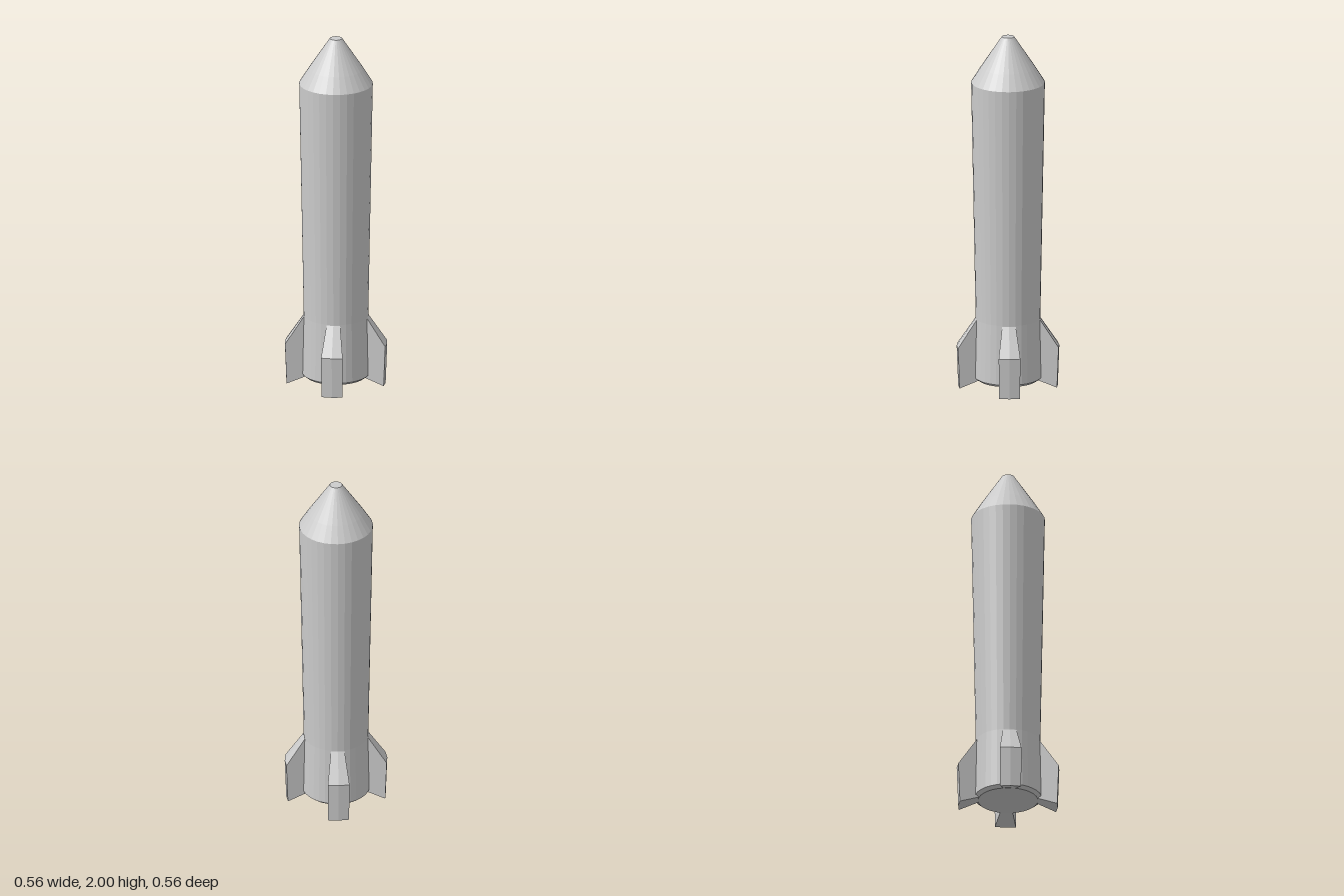
import * as THREE from 'three';

const material = new THREE.MeshStandardMaterial({ color: 0xcccccc, flatShading: true });

// Faceted surface of revolution from [radius, y] pairs, bottom to top
function lathe(name, profile) {
  const points = profile.map(([r, y]) => new THREE.Vector2(r, y));
  const mesh = new THREE.Mesh(new THREE.LatheGeometry(points, 32), material);
  mesh.name = name;
  return mesh;
}

// Wedge fin: one radial outline swept through three angles about the y axis
function finGeometry() {
  const outline = [[0.165, 0.038], [0.274, 0], [0.2825, 0.23], [0.165, 0.405]];
  const halfAngle = THREE.MathUtils.degToRad(12.2);
  const positions = [];
  for (const a of [-halfAngle, 0, halfAngle]) {
    for (const [r, y] of outline) positions.push(r * Math.sin(a), y, r * Math.cos(a));
  }
  const index = [0, 1, 2, 0, 2, 3, 8, 11, 10, 8, 10, 9]; // two flat cheeks
  for (let s = 0; s < 2; s++) {
    for (let j = 0; j < 4; j++) {
      const k = (j + 1) % 4;
      const a = s * 4 + j, b = a + 4, c = s * 4 + 4 + k, d = s * 4 + k;
      index.push(a, b, c, a, c, d);
    }
  }
  const indexed = new THREE.BufferGeometry();
  indexed.setAttribute('position', new THREE.Float32BufferAttribute(positions, 3));
  indexed.setIndex(index);
  const geometry = indexed.toNonIndexed();
  geometry.computeVertexNormals();
  return geometry;
}

export function createModel() {
  const group = new THREE.Group();
  group.name = 'rocket';

  // Hull, closed underneath and widening towards the nose
  group.add(lathe('hull', [[0, 0.037], [0.165, 0.037], [0.185, 0.053], [0.178, 0.39], [0.203, 1.74]]));

  // Slightly bent nose cone with a blunt flat tip
  group.add(lathe('noseCone', [[0.203, 1.74], [0.15, 1.825], [0.034, 2], [0, 2]]));

  // Four fins around the base
  const geometry = finGeometry();
  for (let i = 0; i < 4; i++) {
    const fin = new THREE.Mesh(geometry, material);
    fin.name = 'fin' + (i + 1);
    fin.rotation.y = (i * Math.PI) / 2;
    group.add(fin);
  }
  return group;
}
